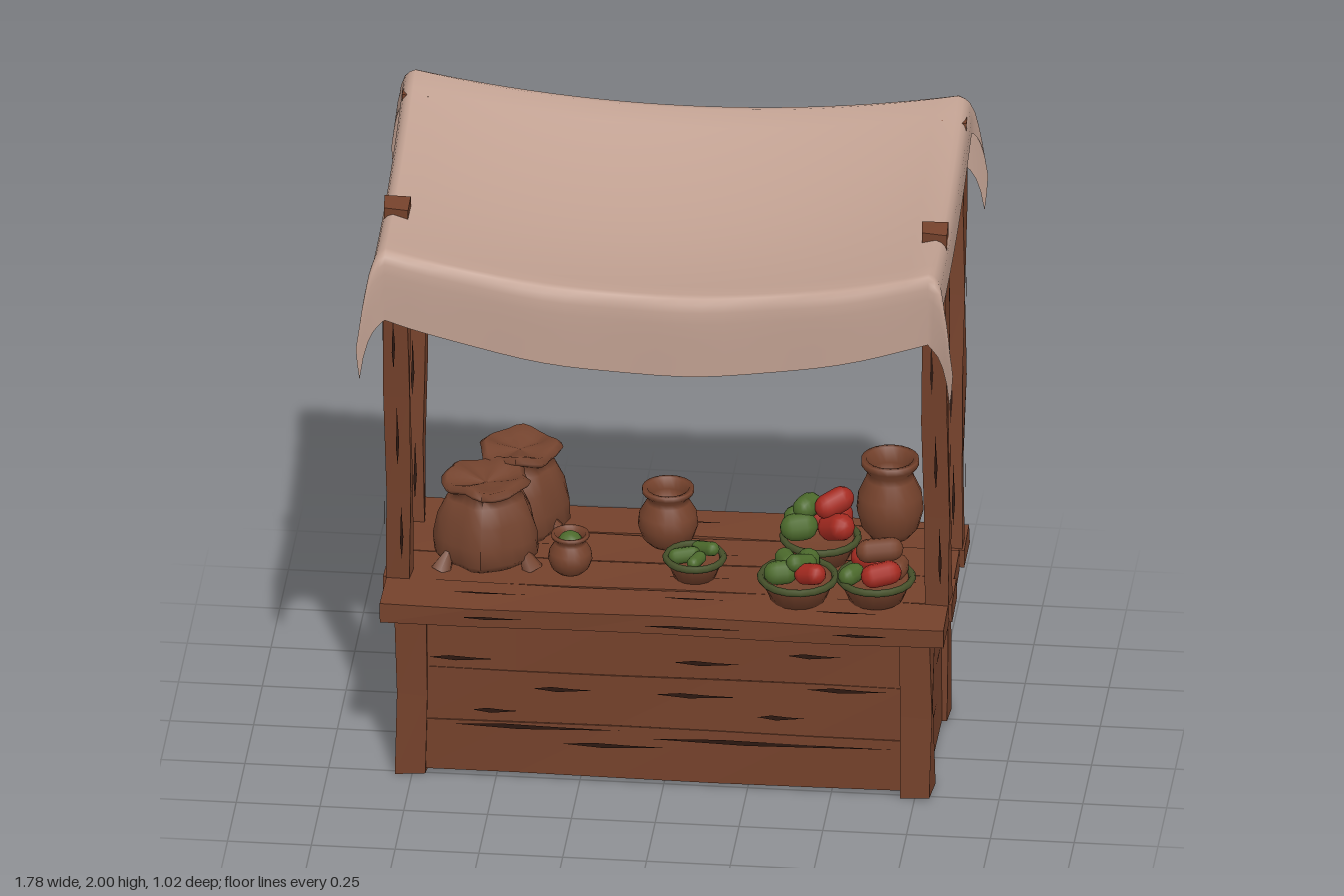
import * as THREE from 'three';

const mat = (name, color, extra = {}) => Object.assign(new THREE.MeshStandardMaterial({ color, ...extra }), { name });

export function createModel() {
  const root = new THREE.Group();
  root.name = 'marketStall';
  const wood = mat('wood', 0x74412b, { flatShading: true });
  const dark = mat('crack', 0x2c1710, { side: THREE.DoubleSide });
  const cloth = mat('cloth', 0xbf9f90, { side: THREE.DoubleSide });
  const clay = mat('clay', 0x75422c, { side: THREE.DoubleSide });
  const sackCloth = mat('sackCloth', 0x73432e, { side: THREE.DoubleSide });
  const green = mat('greenVegetable', 0x4c6a2c);
  const rimGreen = mat('basketRim', 0x46502a);
  const red = mat('redVegetable', 0xa52a20);

  let seed = 7;
  const rnd = () => (seed = (seed * 16807) % 2147483647) / 2147483647;

  function add(parent, name, geo, material, x = 0, y = 0, z = 0) {
    const m = new THREE.Mesh(geo, material);
    m.name = name;
    m.position.set(x, y, z);
    parent.add(m);
    return m;
  }

  // rough timber: a box whose long faces waver slightly
  function timber(parent, name, x0, x1, y0, y1, z0, z1, rough = 0.004) {
    const s = [x1 - x0, y1 - y0, z1 - z0];
    const seg = s.map(v => Math.max(1, Math.min(6, Math.round(v / 0.3))));
    const g = new THREE.BoxGeometry(...s, ...seg);
    const p = g.attributes.position, ph = rnd() * 6;
    for (let i = 0; i < p.count; i++) {
      const [x, y, z] = [p.getX(i), p.getY(i), p.getZ(i)];
      const w = k => Math.sin(x * 17 + y * 13 + z * 29 + ph + k * 2) * rough;
      p.setXYZ(i, x + w(1), y + w(2), z + w(3));
    }
    g.computeVertexNormals();
    return add(parent, name, g, wood, (x0 + x1) / 2, (y0 + y1) / 2, (z0 + z1) / 2);
  }

  // tapered dark split in the wood, a flat sliver
  function crack(parent, len, h, pos, ry = 0, rz = 0, rx = 0) {
    const s = new THREE.Shape([[-len / 2, 0], [-len * 0.1, -h], [len / 2, h * 0.3], [len * 0.15, h * 0.5], [-len * 0.2, h]]
      .map(a => new THREE.Vector2(...a)));
    const m = add(parent, 'woodCrack', new THREE.ShapeGeometry(s), dark, ...pos);
    m.rotation.set(rx, ry, rz);
  }

  // counter cabinet
  const counter = new THREE.Group();
  counter.name = 'counter';
  root.add(counter);
  timber(counter, 'cabinetCore', -0.77, 0.77, 0.01, 0.53, -0.285, 0.235, 0);
  for (let i = 0; i < 3; i++) {
    const y0 = 0.012 + i * 0.172, y1 = y0 + 0.17;
    timber(counter, 'frontPlank', -0.73, 0.73, y0, y1, 0.22, 0.256, 0.002);
    timber(counter, 'backPlank', -0.73, 0.73, y0, y1, -0.306, -0.27, 0.002);
  }
  for (const s of [-1, 1]) {
    timber(counter, 'sidePanel', s * 0.765 - 0.015, s * 0.765 + 0.015, 0.01, 0.53, -0.26, 0.21, 0.002);
    timber(counter, 'frontCornerPost', s * 0.752 - 0.046, s * 0.752 + 0.046, 0, 0.53, 0.17, 0.27);
    timber(counter, 'backCornerPost', s * 0.752 - 0.046, s * 0.752 + 0.046, 0, 0.53, -0.32, -0.22);
    for (const [z, y, l] of [[0.02, 0.43, 0.24], [-0.08, 0.3, 0.14], [0.06, 0.17, 0.18]])
      crack(counter, l, 0.006, [s * 0.786, y, z], s * Math.PI / 2);
  }
  const cracks = [[-0.6, 0.39, 0.2], [0.13, 0.41, 0.2], [-0.3, 0.3, 0.18], [0.1, 0.3, 0.25], [0.55, 0.34, 0.24],
    [0.35, 0.24, 0.14], [-0.38, 0.17, 0.5], [0.32, 0.15, 0.74], [-0.15, 0.12, 0.3], [-0.5, 0.22, 0.14], [0.45, 0.45, 0.16]];
  for (const [x, y, l] of cracks) {
    crack(counter, l, 0.008, [x, y, 0.262]);
    crack(counter, l, 0.008, [-x, y, -0.312], Math.PI);
  }

  // counter top planks
  for (let i = 0; i < 4; i++) {
    const z0 = -0.375 + i * 0.174, e = (i % 2) * 0.008;
    timber(counter, 'topPlank', -0.846 + e, 0.846 - e, 0.528, 0.588, z0, z0 + 0.17, 0.003);
    for (let k = 0; k < 3; k++)
      crack(counter, 0.15 + rnd() * 0.15, 0.005, [-0.6 + k * 0.55 + rnd() * 0.15, 0.593, z0 + 0.05 + rnd() * 0.07], 0, 0, -Math.PI / 2);
  }
  timber(counter, 'topUnderlay', -0.83, 0.83, 0.53, 0.575, -0.365, 0.31, 0);
  for (const [x, l] of [[-0.5, 0.2], [0.1, 0.3], [0.6, 0.18]]) crack(counter, l, 0.005, [x, 0.56, 0.326]);

  // leaning poles
  function pole(name, s, z, slope, top) {
    const g = new THREE.Group();
    g.name = name;
    g.position.set(s * 0.803, 0.56, z);
    g.rotation.x = Math.atan(slope);
    const len = (top - 0.56) * Math.hypot(1, slope);
    timber(g, 'pole', -0.037, 0.037, 0, len, -0.033, 0.033, 0.004);
    for (let k = 0; k < 3; k++) {
      const y = 0.2 + k * 0.33;
      crack(g, 0.2, 0.005, [0.012 - k * 0.01, y, 0.039], 0, Math.PI / 2);
      crack(g, 0.16, 0.005, [0.01, y + 0.1, -0.039], Math.PI, Math.PI / 2);
      crack(g, 0.18, 0.005, [s * 0.043, y + 0.05, 0.005], s * Math.PI / 2, Math.PI / 2);
    }
    root.add(g);
  }
  for (const s of [-1, 1]) {
    pole('frontPole', s, 0.115, 0.07, 1.875);
    pole('backPole', s, -0.247, -0.075, 1.955);
  }

  // sagging awning: a sheet draped over a rectangle, its corners hanging as folded tails
  const HX = 0.81, ZB = -0.41, ZF = 0.44;
  const steps = (a, b, n) => Array.from({ length: n }, (_, i) => a + (b - a) * i / (n - 1));
  const hang = [0.012, 0.03, 0.055, 0.09, 0.14];
  const hangZ = [0.012, 0.03, 0.055, 0.09, 0.14, 0.195, 0.255];
  const us = [...hang.map(v => -HX - v).reverse(), ...steps(-HX, HX, 25), ...hang.map(v => HX + v)];
  const vs = [...hangZ.map(v => ZB - v).reverse(), ...steps(ZB, ZF, 15), ...hangZ.map(v => ZF + v)];
  const pos = [], idx = [];
  for (const v of vs) for (const u of us) {
    const cx = THREE.MathUtils.clamp(u, -HX, HX), cz = THREE.MathUtils.clamp(v, ZB, ZF);
    const ex = Math.abs(u - cx), ez = Math.abs(v - cz), front = v > 0;
    const t = (cz - ZB) / (ZF - ZB), mid = 1 - (cx / HX) ** 2;
    let y = 1.845 + 0.155 * (1 - t) ** 2.2 - mid * (0.085 + 0.025 * t + 0.03 * Math.sin(Math.PI * t));
    const round = e => 1 - Math.exp(-e / 0.025);
    const r = Math.hypot(ex, ez);
    const flare = r > 0 ? 2 * ex * ez / (r * r) * Math.min(1, r / 0.2) : 0;
    y -= ex + ez * (front ? 0.93 + 0.13 * mid : 1) + 0.4 * Math.min(ex, ez) - 0.015 * (round(ex) + round(ez));
    const ox = 0.04 * round(ex) + 0.045 * flare - 0.03 * (ex > 0 ? ez : 0);
    const oz = 0.035 * round(ez) + 0.05 * flare + (front ? 0.004 * Math.sin(cx * 14) : 0.04 * mid) * round(ez);
    pos.push(cx + Math.sign(u) * ox, y, cz + (front ? oz : -oz));
  }
  const n = us.length;
  for (let j = 0; j < vs.length - 1; j++) for (let i = 0; i < n - 1; i++) {
    const a = j * n + i;
    idx.push(a, a + n, a + 1, a + 1, a + n, a + n + 1);
  }
  const sheet = new THREE.BufferGeometry();
  sheet.setAttribute('position', new THREE.Float32BufferAttribute(pos, 3));
  sheet.setIndex(idx);
  sheet.computeVertexNormals();
  add(root, 'awning', sheet, cloth);

  // turned and gathered goods, standing on the counter
  const TOP = 0.59;
  const lathe = (pts, sides) => new THREE.LatheGeometry(pts.map(p => new THREE.Vector2(...p)), sides);
  const potProfile = [[0, 0], [0.6, 0], [0.85, 0.25], [1, 0.7], [0.95, 1.1], [0.72, 1.5], [0.66, 1.65], [0.86, 1.85],
    [0.86, 2], [0.7, 2], [0.56, 1.65], [0.6, 1.3], [0, 1.2]];
  function pot(name, x, z, r, h) {
    add(root, name, lathe(potProfile.map(([a, b]) => [a * r, b * h / 2]), 20), clay, x, TOP, z);
  }
  pot('smallPot', -0.3, 0.05, 0.066, 0.125);
  pot('mediumPot', -0.03, -0.16, 0.09, 0.185);
  pot('tallPot', 0.62, -0.28, 0.1, 0.255);
  add(root, 'potHerbs', new THREE.SphereGeometry(0.04, 10, 8), green, -0.3, 0.68, 0.05);

  // tied sacks with a flared, crumpled mouth
  function sack(x, z, r, h, ph) {
    const g = lathe([[0, 0], [0.9, 0], [1.05, 0.1], [1.04, 0.3], [0.95, 0.56], [0.78, 0.77], [0.62, 0.84], [0.84, 0.9],
      [0.9, 0.95], [0.78, 1], [0.5, 0.95], [0, 0.9]].map(([a, b]) => [a * r, b * h]), 28);
    const p = g.attributes.position;
    for (let i = 0; i < p.count; i++) {
      const px = p.getX(i), py = p.getY(i), pz = p.getZ(i), a = Math.atan2(pz, px);
      const k = 1 + 0.05 * Math.sin(5 * a + ph) + 0.03 * Math.sin(8 * a + py * 30);
      p.setXYZ(i, px * k, py + (py > h * 0.8 ? 0.008 * Math.sin(4 * a + ph) : 0), pz * k);
    }
    g.computeVertexNormals();
    add(root, 'sack', g, sackCloth, x, TOP, z);
    for (const a of [0.5, 2.4, 4.4]) {
      const f = add(root, 'sackFold', new THREE.ConeGeometry(0.035, 0.1, 6), sackCloth,
        x + Math.cos(a) * r * 0.98, TOP + 0.035, z + Math.sin(a) * r * 0.98);
      f.rotation.set(Math.sin(a) * -0.5, 0, Math.cos(a) * 0.5);
    }
  }
  sack(-0.56, -0.04, 0.145, 0.26, 0);
  sack(-0.48, -0.23, 0.135, 0.272, 2);

  // baskets of vegetables
  function basket(name, x, z, r, h) {
    add(root, name, lathe([[0, 0], [r * 0.7, 0], [r * 0.95, h], [r * 0.85, h], [r * 0.8, h * 0.75], [0, h * 0.75]], 16), clay, x, TOP, z);
    const rim = add(root, 'basketRim', new THREE.TorusGeometry(r * 0.95, 0.011, 6, 18), rimGreen, x, TOP + h, z);
    rim.rotation.x = Math.PI / 2;
  }
  function veg(material, x, y, z, r, len, yaw, tilt = 0) {
    const m = add(root, material.name, new THREE.CapsuleGeometry(r, len, 4, 10), material, x, y, z);
    m.rotation.set(0, yaw, Math.PI / 2 + tilt);
  }
  basket('greenBowl', 0.07, 0.04, 0.09, 0.06);
  basket('leftBasket', 0.39, 0.15, 0.118, 0.07);
  basket('rightBasket', 0.62, 0.13, 0.115, 0.07);
  basket('backBasket', 0.43, -0.11, 0.118, 0.07);
  const goods = [
    [green, 0.04, 0.66, 0.05, 0.024, 0.05, 0.4], [green, 0.1, 0.67, 0.02, 0.022, 0.06, -0.7, 0.3], [green, 0.08, 0.66, 0.08, 0.02, 0.04, 1.2],
    [green, 0.34, 0.68, 0.17, 0.036, 0.03, 0.3], [green, 0.41, 0.68, 0.1, 0.036, 0.04, 1.4], [red, 0.43, 0.69, 0.19, 0.033, 0.04, -0.6, 0.3],
    [green, 0.35, 0.68, 0.09, 0.03, 0.04, 2], [green, 0.4, 0.705, 0.15, 0.028, 0.05, 0.8, -0.3],
    [red, 0.64, 0.69, 0.17, 0.036, 0.05, 0.2, 0.2], [green, 0.55, 0.68, 0.16, 0.03, 0.03, 1], [red, 0.6, 0.69, 0.08, 0.036, 0.06, -0.5],
    [clay, 0.63, 0.745, 0.12, 0.036, 0.07, 0.1, 0.1], [clay, 0.68, 0.68, 0.1, 0.034, 0.03, 1.5],
    [green, 0.37, 0.71, -0.07, 0.042, 0.03, 0.4], [red, 0.48, 0.71, -0.08, 0.042, 0.05, -0.8, 0.4], [red, 0.45, 0.7, -0.17, 0.042, 0.06, 0.3],
    [green, 0.39, 0.755, -0.12, 0.036, 0.03, 1.1], [red, 0.47, 0.77, -0.12, 0.038, 0.05, 0.6, 0.3], [green, 0.36, 0.69, -0.17, 0.036, 0.02, 0],
  ];
  for (const g of goods) veg(...g);

  return root;
}
